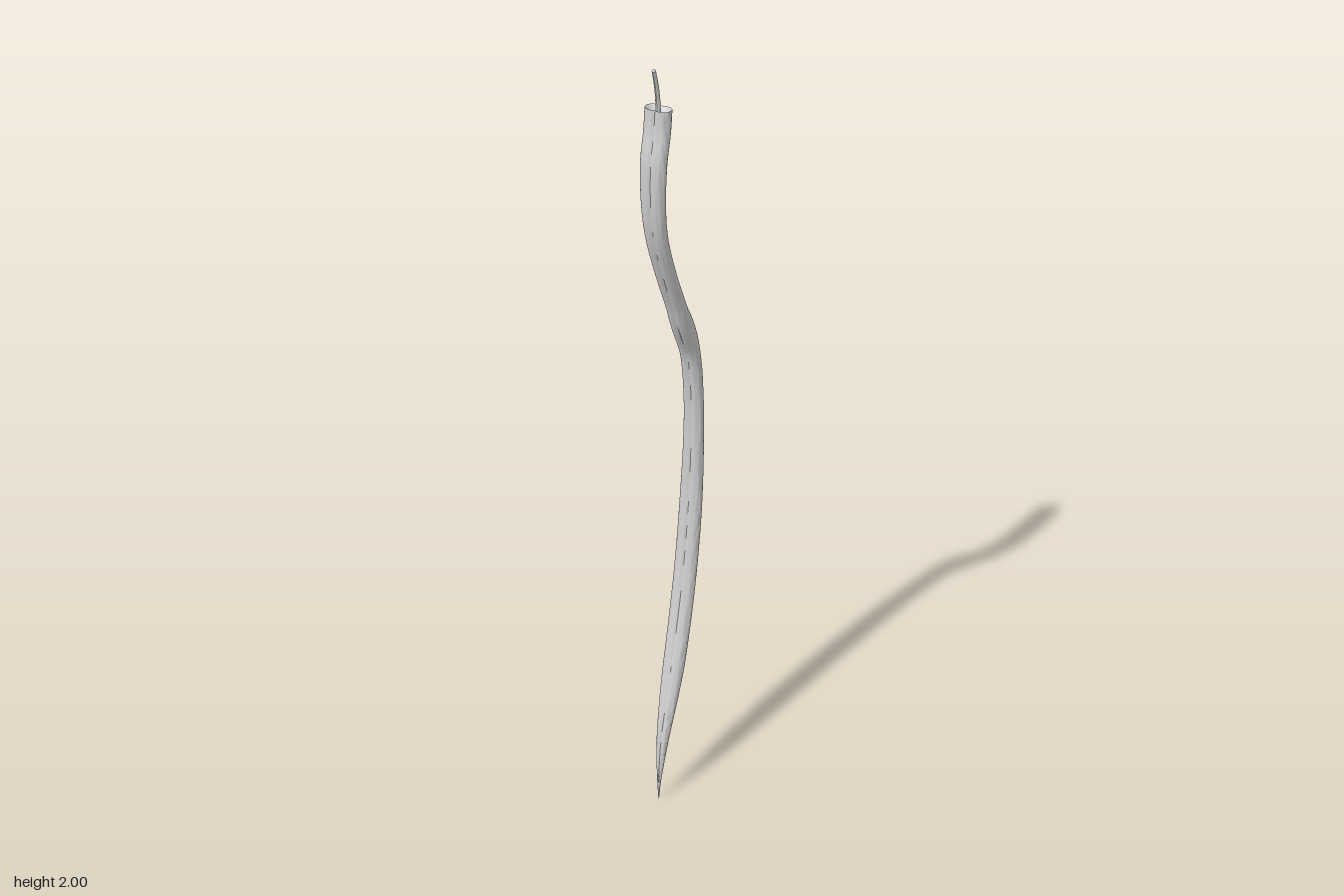
import * as THREE from 'three';
import { mergeVertices, toCreasedNormals } from 'three/addons/utils/BufferGeometryUtils.js';

const material = new THREE.MeshStandardMaterial({ color: 0xcccccc, side: THREE.DoubleSide });

// Centre line from tip to stem end: [y, z, half width, half depth]
const stations = [
  [0, 0.09, 0.0008, 0.0008], [0.05, 0.088, 0.004, 0.003], [0.1, 0.082, 0.008, 0.007],
  [0.2, 0.063, 0.016, 0.013], [0.3, 0.032, 0.023, 0.016], [0.4, 0, 0.027, 0.018],
  [0.6, -0.05, 0.028, 0.017], [0.8, -0.082, 0.0275, 0.017], [1.0, -0.097, 0.024, 0.017],
  [1.12, -0.095, 0.023, 0.016], [1.25, -0.075, 0.023, 0.017], [1.4, -0.01, 0.023, 0.017],
  [1.52, 0.044, 0.023, 0.016], [1.62, 0.081, 0.024, 0.016], [1.7, 0.095, 0.026, 0.016],
  [1.8, 0.093, 0.028, 0.017], [1.86, 0.078, 0.028, 0.019], [1.91, 0.071, 0.028, 0.0195],
];

// Rounded section with a seam groove along front and back
function sectionPoint(angle, halfWidth, halfDepth) {
  const c = Math.cos(angle), s = Math.sin(angle);
  const groove = 1 - 0.22 * Math.exp(-((c / 0.13) ** 2));
  return [halfWidth * Math.sign(c) * Math.abs(c) ** 0.85, halfDepth * Math.sign(s) * Math.abs(s) ** 0.85 * groove];
}

function podGeometry(rows = 96, sides = 40) {
  const path = new THREE.CatmullRomCurve3(stations.map(([y, z]) => new THREE.Vector3(0, y, z)));
  const size = new THREE.CatmullRomCurve3(stations.map(([, , w, d]) => new THREE.Vector3(w, d, 0)));
  const positions = [], index = [];
  const addRing = (t, scale, sink) => {
    const p = path.getPoint(t), tan = path.getTangent(t), r = size.getPoint(t);
    for (let j = 0; j < sides; j++) {
      const [u, v] = sectionPoint((j / sides) * Math.PI * 2, r.x * scale, r.y * scale);
      positions.push(u, p.y - tan.z * v - sink * tan.y, p.z + tan.y * v - sink * tan.z);
    }
  };
  for (let i = 0; i <= rows; i++) addRing(i / rows, 1, 0);
  // Hollowed end around the stem
  addRing(1, 0.8, 0.003);
  addRing(1, 0.45, 0.015);
  addRing(1, 0.02, 0.02);
  for (let i = 0; i < rows + 3; i++) {
    for (let j = 0; j < sides; j++) {
      const a = i * sides + j, b = i * sides + ((j + 1) % sides);
      index.push(a, a + sides, b, b, a + sides, b + sides);
    }
  }
  const geometry = new THREE.BufferGeometry();
  geometry.setAttribute('position', new THREE.Float32BufferAttribute(positions, 3));
  geometry.setIndex(index);
  return toCreasedNormals(mergeVertices(geometry, 1e-6), 0.8);
}

// Thin curved stem, tapering slightly and closed at the end
function stemGeometry() {
  const curve = new THREE.CatmullRomCurve3([
    new THREE.Vector3(0, 1.885, 0.072), new THREE.Vector3(0, 1.92, 0.073),
    new THREE.Vector3(0, 1.96, 0.079), new THREE.Vector3(0, 1.998, 0.09),
  ]);
  const rows = 12, geometry = new THREE.CylinderGeometry(0.0042, 0.0055, 1, 10, rows);
  const pos = geometry.attributes.position;
  for (let i = 0; i < pos.count; i++) {
    const t = pos.getY(i) + 0.5, p = curve.getPoint(t), tan = curve.getTangent(t), v = pos.getZ(i);
    pos.setXYZ(i, pos.getX(i), p.y - tan.z * v, p.z + tan.y * v);
  }
  geometry.computeVertexNormals();
  return geometry;
}

export function createModel() {
  const group = new THREE.Group();
  group.name = 'beanPod';
  for (const [name, geometry] of [['pod', podGeometry()], ['stem', stemGeometry()]]) {
    const mesh = new THREE.Mesh(geometry, material);
    mesh.name = name;
    group.add(mesh);
  }
  return group;
}
